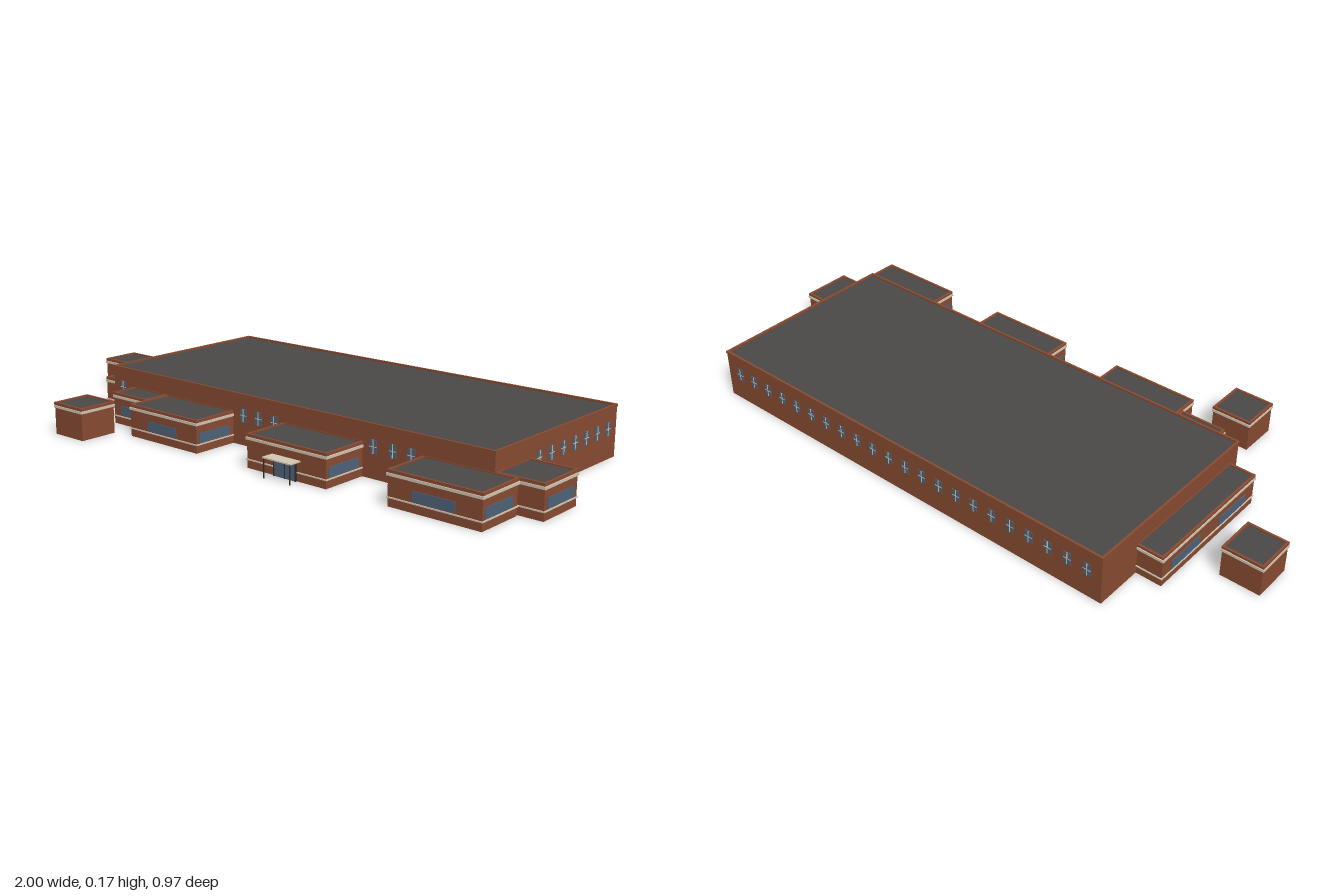
import * as THREE from 'three';

const mat = (name, color) => Object.assign(new THREE.MeshStandardMaterial({ color }), { name });

export function createModel() {
  const brick = mat('brick', 0x8a4c32);
  const roofing = mat('roofing', 0x4c4948);
  const glass = mat('glass', 0x50647a);
  const trim = mat('trim', 0xd6c8b4);
  const darkMetal = mat('darkMetal', 0x33302e);
  const root = new THREE.Group();
  root.name = 'building';

  const add = (parent, name, geometry, material) => {
    const mesh = new THREE.Mesh(geometry, material);
    mesh.name = name;
    parent.add(mesh);
    return mesh;
  };
  const box = (parent, name, material, w, h, d, x, y, z) =>
    add(parent, name, new THREE.BoxGeometry(w, h, d), material).position.set(x, y, z);

  // Rectangular ring around a footprint: out = overhang, t = thickness inward
  const ring = (parent, name, material, [x0, x1, z0, z1], out, t, y0, y1) => {
    const rect = (C, o) => {
      const p = new C();
      p.moveTo(x0 - o, -z1 - o);
      p.lineTo(x1 + o, -z1 - o);
      p.lineTo(x1 + o, -z0 + o);
      p.lineTo(x0 - o, -z0 + o);
      p.closePath();
      return p;
    };
    const shape = rect(THREE.Shape, out);
    shape.holes.push(rect(THREE.Path, -t));
    const geo = new THREE.ExtrudeGeometry(shape, { depth: y1 - y0, bevelEnabled: false });
    geo.rotateX(-Math.PI / 2).translate(0, y0, 0);
    add(parent, name, geo, material);
  };

  // Open-bottomed block: walls, recessed flat roof and parapet cap
  const block = (name, f, h, roofY) => {
    const g = new THREE.Group();
    g.name = name;
    root.add(g);
    const [x0, x1, z0, z1] = f;
    ring(g, 'walls', brick, f, 0, 0.004, 0, h - 0.004);
    ring(g, 'parapetCap', brick, f, 0.002, 0.005, h - 0.008, h);
    box(g, 'roof', roofing, x1 - x0 - 0.006, 0.003, z1 - z0 - 0.006,
      (x0 + x1) / 2, roofY, (z0 + z1) / 2);
    return g;
  };

  // Window on a wall; side gives the outward direction
  const windowOn = (parent, side, along, wall, y, w, h, barsAcross, crossbar) => {
    const g = new THREE.Group();
    g.name = 'window';
    box(g, 'pane', glass, w, h, 0.003, 0, 0, 0.0005);
    for (let i = 1; i <= barsAcross; i++)
      box(g, 'mullion', trim, 0.003, h, 0.002, -w / 2 + (w * i) / (barsAcross + 1), 0, 0.002);
    if (crossbar) box(g, 'crossbar', trim, w, 0.002, 0.002, 0, 0, 0.002);
    const angle = { front: 0, left: Math.PI / 2, back: Math.PI, right: -Math.PI / 2 }[side];
    g.rotation.y = angle;
    if (side === 'front' || side === 'back') g.position.set(along, y, wall);
    else g.position.set(wall, y, along);
    parent.add(g);
  };

  // Main hall with its rows of small crossed windows
  const hall = block('mainHall', [-0.685, 0.85, -0.485, 0.177], 0.166, 0.158);
  const small = (side, along, wall) => windowOn(hall, side, along, wall, 0.097, 0.026, 0.042, 1, true);
  for (const x of [-0.64, -0.075, -0.01, 0.055, 0.44, 0.51, 0.575]) small('front', x, 0.177);
  for (let i = 0; i < 22; i++) small('back', -0.635 + i * 0.068, -0.485);
  for (let i = 0; i < 7; i++) small('left', -0.046 - i * 0.0648, 0.85);

  // Low annexes: footprint and the long windows as [side, centre, width]
  const annexes = [
    ['frontAnnexRight', [-0.42, -0.12, 0.174, 0.338],
      [['front', -0.275, 0.13], ['left', 0.262, 0.13], ['right', 0.3, 0.05]]],
    ['frontAnnexEntrance', [0.095, 0.4, 0.174, 0.338],
      [['left', 0.262, 0.13], ['right', 0.262, 0.13]]],
    ['frontAnnexLeft', [0.617, 0.92, 0.174, 0.338],
      [['front', 0.768, 0.14], ['left', 0.262, 0.13], ['right', 0.262, 0.13]]],
    ['frontLink', [-0.582, -0.428, 0.174, 0.268],
      [['front', -0.49, 0.12]]],
    ['sideAnnexLeft', [0.847, 0.997, 0.001, 0.167],
      [['left', 0.084, 0.135]]],
    ['sideWingRight', [-0.77, -0.682, -0.325, 0.14],
      [['right', -0.21, 0.14], ['right', 0.025, 0.14]]],
  ];
  for (const [name, f, windows] of annexes) {
    const g = block(name, f, 0.106, 0.1);
    ring(g, 'upperBand', trim, f, 0.0035, 0.003, 0.088, 0.096);
    ring(g, 'sillBand', trim, f, 0.003, 0.002, 0.025, 0.029);
    const wall = { left: f[1], right: f[0], front: f[3], back: f[2] };
    for (const [side, along, w] of windows)
      windowOn(g, side, along, wall[side], 0.047, w, 0.032, 0, false);
  }

  // Detached huts
  for (const f of [[-0.997, -0.867, -0.182, -0.052], [-0.622, -0.49, 0.35, 0.482]]) {
    const g = block('detachedHut', f, 0.106, 0.1);
    ring(g, 'upperBand', trim, f, 0.003, 0.003, 0.088, 0.096);
  }

  // Entrance: glazed doors under a canopy on two posts
  const entrance = new THREE.Group();
  entrance.name = 'entrance';
  root.add(entrance);
  box(entrance, 'doors', glass, 0.085, 0.052, 0.008, 0.248, 0.026, 0.339);
  for (const x of [0.206, 0.248, 0.29])
    box(entrance, 'doorFrame', darkMetal, 0.003, 0.052, 0.008, x, 0.026, 0.341);
  box(entrance, 'canopy', trim, 0.11, 0.004, 0.044, 0.25, 0.062, 0.36);
  for (const x of [0.2, 0.3])
    box(entrance, 'canopyPost', darkMetal, 0.003, 0.06, 0.003, x, 0.03, 0.379);

  return root;
}
